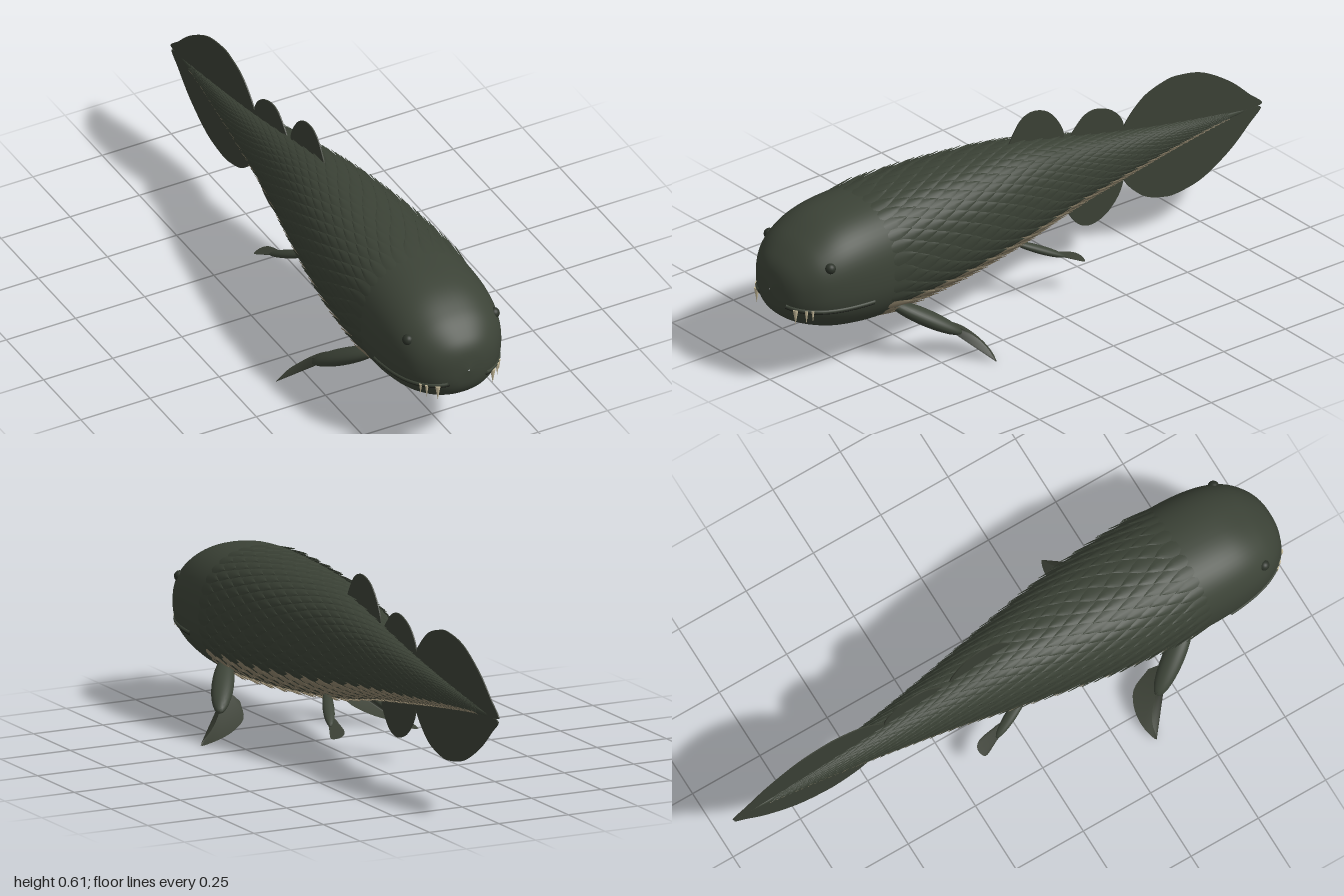
import * as THREE from 'three';
import { mergeGeometries } from 'three/addons/utils/BufferGeometryUtils.js';

const mat = (name, color, side = THREE.FrontSide) => {
  const m = new THREE.MeshStandardMaterial({ color, side });
  m.name = name;
  return m;
};

// Body stations: z, half width, half height, centre height
const STATIONS = [
  [1.0, 0.002, 0.002, 0.328], [0.99, 0.066, 0.066, 0.328], [0.96, 0.122, 0.11, 0.331],
  [0.9, 0.17, 0.152, 0.34], [0.8, 0.198, 0.19, 0.347], [0.65, 0.206, 0.207, 0.348],
  [0.4, 0.192, 0.202, 0.353], [0.2, 0.166, 0.188, 0.358], [0, 0.13, 0.165, 0.361],
  [-0.2, 0.093, 0.122, 0.36], [-0.4, 0.062, 0.083, 0.353], [-0.6, 0.036, 0.048, 0.349],
  [-0.8, 0.014, 0.018, 0.346], [-0.93, 0.002, 0.003, 0.342],
];
const sizeCurve = new THREE.CatmullRomCurve3(STATIONS.map(([, w, h, c]) => new THREE.Vector3(w, h, c)));
const zCurve = new THREE.CatmullRomCurve3(STATIONS.map(([z]) => new THREE.Vector3(z, 0, 0)));
sizeCurve.curveType = zCurve.curveType = 'catmullrom';

// Section size at a given z, found by bisection
function sectionAt(z) {
  let lo = 0, hi = 1;
  for (let i = 0; i < 22; i++) {
    const mid = (lo + hi) / 2;
    if (zCurve.getPoint(mid).x > z) lo = mid; else hi = mid;
  }
  const p = sizeCurve.getPoint(lo);
  return { w: Math.max(p.x, 0.001), h: Math.max(p.y, 0.001), c: p.z };
}

// Slightly squared oval section
const POWER = 2.3;
const squared = v => Math.sign(v) * Math.abs(v) ** (2 / POWER);
function skinPoint(sec, z, angle, lift = 0) {
  return [(sec.w + lift) * squared(Math.cos(angle)), sec.c + (sec.h + lift) * squared(Math.sin(angle)), z];
}
function flankPoint(y, z, out = 0) {
  const { w, h, c } = sectionAt(z);
  const s = Math.min(1, Math.abs((y - c) / h));
  return new THREE.Vector3(w * (1 - s ** POWER) ** (1 / POWER) + out, y, z);
}

function geometryFrom(positions, index) {
  const g = new THREE.BufferGeometry();
  g.setAttribute('position', new THREE.Float32BufferAttribute(positions, 3));
  g.setIndex(index);
  g.computeVertexNormals();
  return g;
}

// Skin through sections, zs rising from tail to nose
function loft(zs, sides = 64) {
  const pos = [], idx = [];
  zs.forEach((z, r) => {
    const sec = sectionAt(z);
    for (let i = 0; i < sides; i++) {
      pos.push(...skinPoint(sec, z, (i / sides) * Math.PI * 2));
      if (r === zs.length - 1) continue;
      const a = r * sides + i, b = r * sides + (i + 1) % sides;
      idx.push(a, b, a + sides, b, b + sides, a + sides);
    }
  });
  return geometryFrom(pos, idx);
}

// One overlapping scale, rounded to a point and raised at the rear
function scaleGeometry(z0, length, angle, halfAngle, size) {
  const pos = [], idx = [], rows = 5, cols = 4;
  for (let r = 0; r <= rows; r++) {
    const s = r / rows, z = z0 - s * length, sec = sectionAt(z);
    const taper = s < 0.45 ? 1 : 1 - ((s - 0.45) / 0.55) ** 1.6;
    for (let c = 0; c <= cols; c++) {
      const v = (c / cols) * 2 - 1;
      const lift = (-0.003 + 0.015 * s - 0.002 * v * v) * size;
      pos.push(...skinPoint(sec, z, angle + v * halfAngle * taper, lift));
      if (r === rows || c === cols) continue;
      const a = r * (cols + 1) + c, d = a + cols + 1;
      idx.push(a, d, a + 1, a + 1, d, d + 1);
    }
  }
  return geometryFrom(pos, idx);
}

// Thin upright fin on the midline, outline points in (z, y)
function midFin(points) {
  const shape = new THREE.Shape();
  const pts = points.map(p => new THREE.Vector2(...p));
  shape.moveTo(pts[0].x, pts[0].y);
  shape.splineThru(pts.slice(1));
  shape.closePath();
  const g = new THREE.ExtrudeGeometry(shape, { depth: 0.004, bevelEnabled: false, curveSegments: 32 });
  return g.translate(0, 0, -0.002).rotateY(-Math.PI / 2);
}

// Fan-shaped blade: root first, then the outer edge
function blade(root, edge, side) {
  const curve = new THREE.CatmullRomCurve3(edge.map(p => new THREE.Vector3(...p)));
  const pos = [...root], idx = [];
  curve.getPoints(28).forEach((p, i) => {
    pos.push(p.x, p.y, p.z);
    if (i) idx.push(0, i, i + 1);
  });
  for (let i = 0; i < pos.length; i += 3) pos[i] *= side;
  return geometryFrom(pos, idx);
}

export function createModel() {
  const model = new THREE.Group();
  const skin = mat('dark olive skin', 0x3c4337);
  const scaleDark = mat('dark olive scales', 0x3a4135, THREE.DoubleSide);
  const scalePale = mat('pale belly scales', 0x8c8169, THREE.DoubleSide);
  const finMat = mat('fin', 0x3b4035, THREE.DoubleSide);
  const eyeMat = mat('eye', 0x2c3229);
  const mouthMat = mat('mouth line', 0x1e211b);
  const toothMat = mat('tooth ivory', 0xc9bd9c);
  const add = (name, geometry, material, parent = model) => {
    const mesh = new THREE.Mesh(geometry, material);
    mesh.name = name;
    parent.add(mesh);
    return mesh;
  };

  // Head and trunk
  const steps = n => Array.from({ length: n + 1 }, (_, i) => i / n);
  add('head', loft(steps(36).map(t => 0.64 + 0.36 * Math.sin(t * Math.PI / 2))), skin);
  add('trunk', loft(steps(40).map(t => -0.93 + 1.57 * t)), skin);

  // Staggered scale rows, shrinking toward the tail
  const around = 32, dark = [], pale = [];
  for (let z = 0.68, row = 0; z > -0.82; row++) {
    const size = sectionAt(z).w / 0.206;
    const step = 0.02 + 0.028 * size;
    for (let i = 0; i < around; i++) {
      const angle = ((i + (row % 2) / 2) / around) * Math.PI * 2;
      const list = Math.sin(angle) < -0.5 ? pale : dark;
      list.push(scaleGeometry(z, step * 2.4, angle, Math.PI / around, 0.25 + 0.75 * size));
    }
    z -= step;
  }
  add('backScales', mergeGeometries(dark), scaleDark);
  add('bellyScales', mergeGeometries(pale), scalePale);

  // Midline fins
  add('frontDorsalFin', midFin([[0.04, 0.5], [0.02, 0.545], [-0.02, 0.6], [-0.07, 0.617], [-0.13, 0.597],
    [-0.175, 0.545], [-0.195, 0.49], [-0.16, 0.47]]), finMat);
  add('rearDorsalFin', midFin([[-0.21, 0.46], [-0.235, 0.495], [-0.28, 0.535], [-0.33, 0.542], [-0.39, 0.518],
    [-0.43, 0.475], [-0.44, 0.425], [-0.42, 0.41]]), finMat);
  add('analFin', midFin([[-0.19, 0.26], [-0.22, 0.195], [-0.26, 0.15], [-0.31, 0.136], [-0.37, 0.157],
    [-0.42, 0.21], [-0.44, 0.27], [-0.42, 0.29]]), finMat);
  add('upperTailFin', midFin([[-0.43, 0.41], [-0.45, 0.46], [-0.52, 0.523], [-0.6, 0.551], [-0.66, 0.555],
    [-0.76, 0.533], [-0.87, 0.467], [-0.95, 0.395], [-1, 0.347], [-0.92, 0.343]]), finMat);
  add('lowerTailFin', midFin([[-0.43, 0.29], [-0.45, 0.235], [-0.52, 0.169], [-0.6, 0.14], [-0.66, 0.136],
    [-0.76, 0.157], [-0.87, 0.22], [-0.95, 0.29], [-0.995, 0.335], [-0.92, 0.343]]), finMat);

  for (const [label, side] of [['left', 1], ['right', -1]]) {
    const half = new THREE.Group();
    half.name = label + 'SideParts';

    // Fleshy fin lobes
    const lobe = (name, from, to, wide, thick) => {
      const a = new THREE.Vector3(...from), b = new THREE.Vector3(...to);
      a.x *= side;
      b.x *= side;
      const mesh = add(name, new THREE.SphereGeometry(1, 24, 16), skin);
      mesh.position.copy(a).lerp(b, 0.5);
      mesh.lookAt(b);
      mesh.scale.set(wide, thick, a.distanceTo(b) / 2);
      half.add(mesh);
    };
    lobe('pectoralLobe', [0.125, 0.21, 0.62], [0.255, 0.085, 0.42], 0.036, 0.026);
    lobe('pelvicLobe', [0.06, 0.215, 0.06], [0.13, 0.14, -0.1], 0.019, 0.013);

    // Fin blades
    add('pectoralBlade', blade([0.19, 0.14, 0.5], [[0.225, 0.125, 0.465], [0.265, 0.088, 0.405],
      [0.31, 0.047, 0.37], [0.355, 0.003, 0.36], [0.31, 0.016, 0.343], [0.25, 0.039, 0.343],
      [0.195, 0.07, 0.37], [0.17, 0.11, 0.44]], side), finMat, half);
    add('pelvicBlade', blade([0.1, 0.17, -0.02], [[0.122, 0.155, -0.06], [0.14, 0.135, -0.11],
      [0.156, 0.114, -0.157], [0.13, 0.118, -0.168], [0.108, 0.128, -0.155],
      [0.096, 0.15, -0.08]], side), finMat, half);

    // Mouth edge following the head
    const mouthPath = drop => new THREE.CatmullRomCurve3(steps(14).map(t => {
      const p = flankPoint(0.275 + 0.016 * t * t - drop, 0.73 + 0.257 * Math.sin(t * Math.PI / 2));
      p.x *= side;
      return p;
    }));
    add('upperLip', new THREE.TubeGeometry(mouthPath(0), 40, 0.006, 8), skin, half);
    add('mouthLine', new THREE.TubeGeometry(mouthPath(0.007), 40, 0.004, 8), mouthMat, half);

    // Fangs
    for (const [z, radius, length] of [[0.972, 0.009, 0.052], [0.95, 0.006, 0.046], [0.935, 0.005, 0.04]]) {
      const fang = add('fang', new THREE.ConeGeometry(radius, length, 12), toothMat, half);
      const p = flankPoint(0.284, z, 0.002);
      fang.position.set(p.x * side, 0.284 - length / 2, z + 0.002);
      fang.rotation.x = Math.PI;
    }

    // Eye
    const eye = add('eye', new THREE.SphereGeometry(0.018, 20, 14), eyeMat, half);
    const e = flankPoint(0.424, 0.878, -0.006);
    eye.position.set(e.x * side, e.y, e.z);
    model.add(half);
  }
  return model;
}
